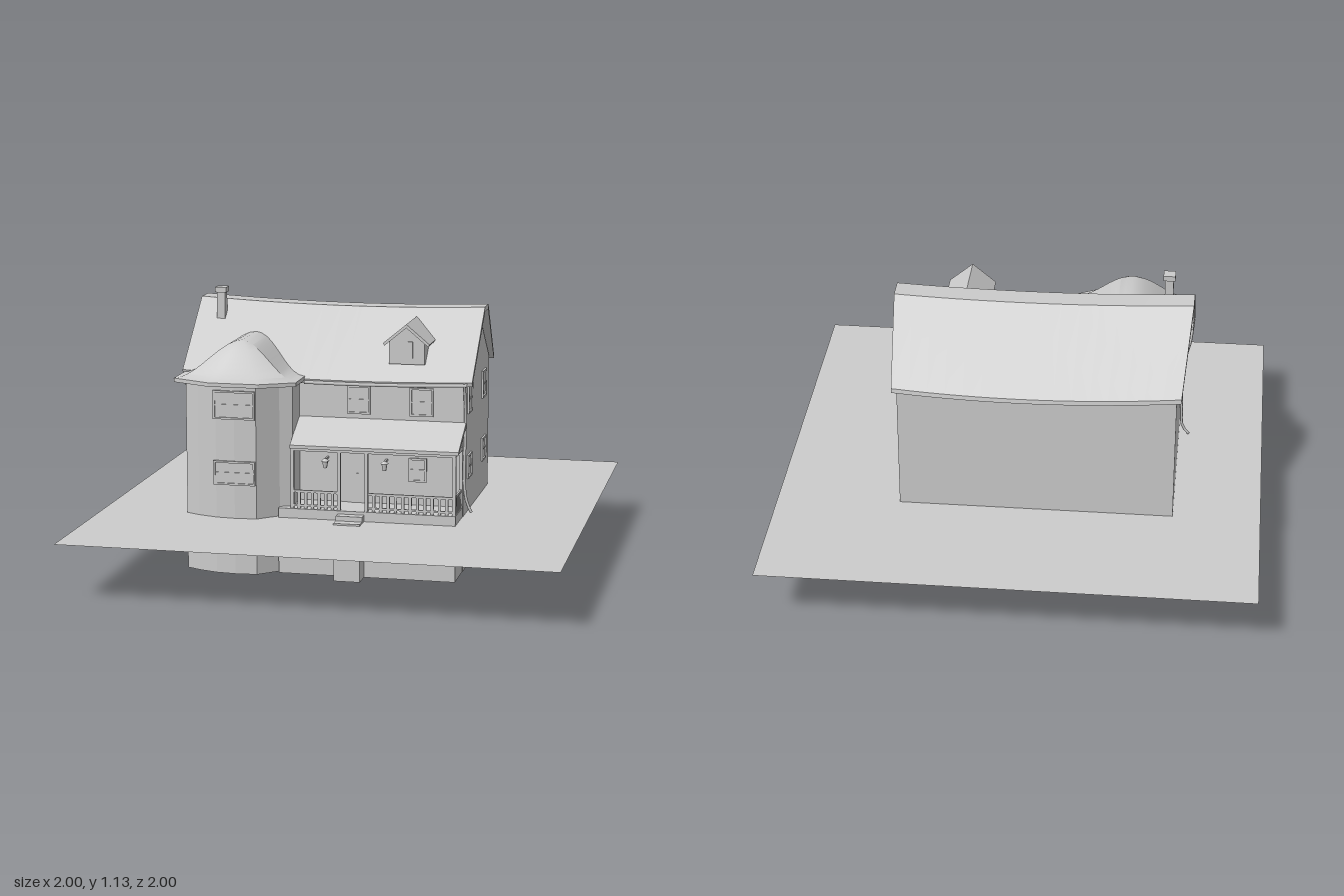
import * as THREE from 'three';
import { toCreasedNormals } from 'three/addons/utils/BufferGeometryUtils.js';

const grey = new THREE.MeshStandardMaterial({ color: 0xcccccc, side: THREE.DoubleSide });

export function createModel() {
  const root = new THREE.Group();
  root.name = 'house';

  const add = (name, geometry, parent = root) => {
    const mesh = new THREE.Mesh(geometry, grey);
    mesh.name = name;
    parent.add(mesh);
    return mesh;
  };
  const group = (name) => {
    const g = new THREE.Group();
    g.name = name;
    root.add(g);
    return g;
  };
  // Box given by its limits on each axis
  const box = (name, x0, x1, y0, y1, z0, z1, parent) => {
    const mesh = add(name, new THREE.BoxGeometry(x1 - x0, y1 - y0, z1 - z0), parent);
    mesh.position.set((x0 + x1) / 2, (y0 + y1) / 2, (z0 + z1) / 2);
    return mesh;
  };
  // Profile of [z, y] points swept from x0 to x1
  const sweepX = (points, x0, x1, steps = 1) => {
    const shape = new THREE.Shape(points.map(([z, y]) => new THREE.Vector2(-z, y)));
    return new THREE.ExtrudeGeometry(shape, { depth: x1 - x0, steps, bevelEnabled: false })
      .rotateY(Math.PI / 2).translate(x0, 0, 0);
  };
  // Plan of [x, z] points raised from y0 to y1
  const raise = (points, y0, y1) => {
    const shape = new THREE.Shape(points.map(([x, z]) => new THREE.Vector2(x, -z)));
    return new THREE.ExtrudeGeometry(shape, { depth: y1 - y0, bevelEnabled: false })
      .rotateX(-Math.PI / 2).translate(0, y0, 0);
  };
  const pipe = (name, points, radius) => {
    const curve = new THREE.CatmullRomCurve3(points.map((p) => new THREE.Vector3(...p)));
    return add(name, new THREE.TubeGeometry(curve, 20, radius, 6));
  };

  // Ground sheet; the walls carry on below it
  add('ground', new THREE.PlaneGeometry(2, 2).rotateX(-Math.PI / 2)).position.y = 0.235;

  // Walls
  add('mainWalls', sweepX([[0.2, 0], [0.2, 0.805], [-0.07, 1.035], [-0.155, 1.035],
    [-0.43, 0.805], [-0.43, 0]], -0.64, 0.49));
  add('bayWalls', raise([[-0.64, 0.15], [-0.64, 0.365], [-0.58, 0.395], [-0.5, 0.42], [-0.42, 0.427],
    [-0.33, 0.42], [-0.25, 0.345], [-0.2, 0.32], [-0.2, 0.15]], 0, 0.8));

  // Main roof: sagging ridge and slightly crooked ends
  const sag = (x) => 0.045 * x * x - 0.013;
  const roof = sweepX([[0.24, 0.805], [-0.065, 1.07], [-0.16, 1.07], [-0.465, 0.805],
    [-0.468, 0.787], [-0.155, 1.05], [-0.07, 1.05], [0.235, 0.787]], -0.69, 0.53, 16);
  const p = roof.attributes.position;
  for (let i = 0; i < p.count; i++) {
    const x = p.getX(i), z = p.getZ(i);
    const back = Math.max(0, -0.15 - z) / 0.32;
    p.setY(i, p.getY(i) + sag(x));
    p.setX(i, x * (1 - 0.045 * back));
    p.setZ(i, z - back * 0.012 * (1 - x * x * 4));
  }
  roof.computeVertexNormals();
  add('mainRoof', toCreasedNormals(roof, 0.35));

  // Bay roof: eave outline drawn in to a short ridge along a bell curve
  const eave = [[-0.685, 0.15], [-0.685, 0.385], [-0.52, 0.462], [-0.31, 0.462], [-0.17, 0.385], [-0.17, 0.15]];
  const ridgeZ = [0.02, 0.28, 0.28, 0.28, 0.28, 0.02];
  const rings = 10, verts = [], index = [];
  for (let r = 0; r <= rings; r++) {
    const t = r / rings;
    eave.forEach(([x, z], i) => verts.push(
      THREE.MathUtils.lerp(x, -0.42, t), 0.803 + 0.152 * t * t * (3 - 2 * t), THREE.MathUtils.lerp(z, ridgeZ[i], t)));
  }
  const n = eave.length;
  for (let r = 0; r < rings; r++) {
    for (let i = 0; i < n - 1; i++) {
      const a = r * n + i, b = a + 1, c = a + n, d = c + 1;
      index.push(a, b, d, a, d, c);
    }
  }
  const bell = new THREE.BufferGeometry();
  bell.setAttribute('position', new THREE.Float32BufferAttribute(verts, 3));
  bell.setIndex(index);
  bell.computeVertexNormals();
  add('bayRoof', toCreasedNormals(bell, 0.6));
  add('bayEave', raise(eave, 0.787, 0.803));

  // Chimney
  const chimney = group('chimney');
  box('chimneyStack', -0.6, -0.565, 0.97, 1.12, -0.015, 0.02, chimney);
  box('chimneyCap', -0.607, -0.558, 1.11, 1.132, -0.022, 0.027, chimney);

  // Dormer
  const dormer = group('dormer');
  const gable = new THREE.Shape([[0.175, 0.86], [0.323, 0.86], [0.323, 0.955], [0.249, 1.015], [0.175, 0.955]]
    .map((q) => new THREE.Vector2(...q)));
  add('dormerWalls', new THREE.ExtrudeGeometry(gable, { depth: 0.2, bevelEnabled: false }), dormer).position.z = -0.015;
  const cover = new THREE.Shape([[0.152, 0.947], [0.249, 1.028], [0.346, 0.947], [0.34, 0.937], [0.249, 1.013], [0.158, 0.937]]
    .map((q) => new THREE.Vector2(...q)));
  add('dormerRoof', new THREE.ExtrudeGeometry(cover, { depth: 0.22, bevelEnabled: false }), dormer).position.z = -0.02;
  const dormerWindow = add('dormerWindow', new THREE.BoxGeometry(0.05, 0.07, 0.006), dormer);
  dormerWindow.position.set(0.249, 0.92, 0.186);

  // Windows: thin frame, pane, sash bar and sill, facing +z before turning
  const makeWindow = (w, h, x, y, z, turn = 0) => {
    const g = group('window');
    const f = 0.008;
    box('pane', -w / 2, w / 2, -h / 2, h / 2, -0.004, 0.002, g);
    for (const s of [-1, 1]) {
      box('jamb', s * (w / 2 - f / 2) - f / 2, s * (w / 2 - f / 2) + f / 2, -h / 2, h / 2, 0, 0.008, g);
      box('rail', -w / 2, w / 2, s * (h / 2 - f / 2) - f / 2, s * (h / 2 - f / 2) + f / 2, 0, 0.008, g);
    }
    box('sashBar', -w / 2, w / 2, -0.003, 0.003, 0, 0.006, g);
    g.position.set(x, y, z);
    g.rotation.y = turn;
  };
  for (const [y, h] of [[0.708, 0.118], [0.425, 0.1]]) {
    makeWindow(0.175, h, -0.42, y, 0.426);
    for (const z of [0.067, -0.29]) makeWindow(0.092, h, 0.49, y, z, Math.PI / 2);
  }
  for (const x of [0.052, 0.315]) makeWindow(0.098, 0.118, x, 0.708, 0.2);
  makeWindow(0.075, 0.1, 0.3, 0.423, 0.2);
  box('atticVent', 0.485, 0.496, 0.99, 1.016, -0.128, -0.098);

  // Door with two small panes
  const door = group('door');
  box('doorFrame', 0.005, 0.11, 0.275, 0.5, 0.195, 0.205, door);
  box('doorLeaf', 0.015, 0.1, 0.275, 0.49, 0.2, 0.209, door);
  for (const x of [0.02, 0.062]) box('doorPane', x, x + 0.033, 0.36, 0.4, 0.205, 0.212, door);

  // Porch base, steps, roof and beam
  const porch = group('porch');
  box('porchBase', -0.25, 0.488, 0, 0.275, 0.15, 0.37, porch);
  box('upperStep', 0, 0.11, 0, 0.262, 0.36, 0.408, porch);
  box('lowerStep', 0, 0.11, 0, 0.242, 0.4, 0.453, porch);
  add('porchGable', sweepX([[0.19, 0.53], [0.19, 0.62], [0.36, 0.535], [0.36, 0.53]], -0.2, 0.487), porch);
  add('porchRoof', sweepX([[0.19, 0.635], [0.376, 0.542], [0.376, 0.528], [0.19, 0.615]], -0.2, 0.5), porch);
  box('porchBeam', -0.2, 0.488, 0.517, 0.533, 0.35, 0.366, porch);
  box('porchSideBeam', 0.474, 0.488, 0.517, 0.533, 0.2, 0.36, porch);
  for (const x of [-0.193, 0.003, 0.117, 0.481]) {
    box('porchPost', x - 0.007, x + 0.007, 0.27, 0.53, 0.35, 0.364, porch);
  }
  box('porchWallPost', 0.474, 0.488, 0.27, 0.53, 0.2, 0.21, porch);

  // Railings, built from rails and evenly spaced balusters
  const railing = (ax, az, bx, bz, count) => {
    const t = 0.004;
    for (const [y0, y1] of [[0.284, 0.292], [0.342, 0.352]]) {
      box('handrail', ax - t, bx + t, y0, y1, Math.min(az, bz) - t, Math.max(az, bz) + t, porch);
    }
    for (let i = 1; i <= count; i++) {
      const x = ax + (bx - ax) * i / (count + 1), z = az + (bz - az) * i / (count + 1);
      box('baluster', x - 0.006, x + 0.006, 0.275, 0.345, z - 0.004, z + 0.004, porch);
    }
  };
  railing(-0.193, 0.357, 0.003, 0.357, 6);
  railing(0.117, 0.357, 0.481, 0.357, 11);
  railing(0.481, 0.21, 0.481, 0.357, 5);

  // Wall lanterns
  for (const x of [-0.08, 0.17]) {
    const lamp = group('lantern');
    box('bracket', -0.004, 0.004, 0.016, 0.024, -0.05, 0, lamp);
    add('lampBody', new THREE.CylinderGeometry(0.013, 0.008, 0.03, 6), lamp);
    add('lampCap', new THREE.CylinderGeometry(0.004, 0.018, 0.012, 6), lamp).position.y = 0.02;
    lamp.position.set(x, 0.44, 0.25);
  }

  // Gutter and downspouts
  pipe('gutter', [-0.17, 0, 0.2, 0.51].map((x) => [x, 0.792 + sag(x), 0.238]), 0.008);
  pipe('leftDownspout', [[-0.685, 0.8, 0.22], [-0.675, 0.7, 0.205], [-0.652, 0.6, 0.2],
    [-0.648, 0.36, 0.2], [-0.655, 0.28, 0.2], [-0.682, 0.242, 0.2]], 0.006);
  pipe('rightDownspout', [[0.497, 0.8, 0.238], [0.497, 0.72, 0.21], [0.497, 0.62, 0.197],
    [0.495, 0.38, 0.203], [0.505, 0.3, 0.2], [0.524, 0.255, 0.197]], 0.006);

  return root;
}
